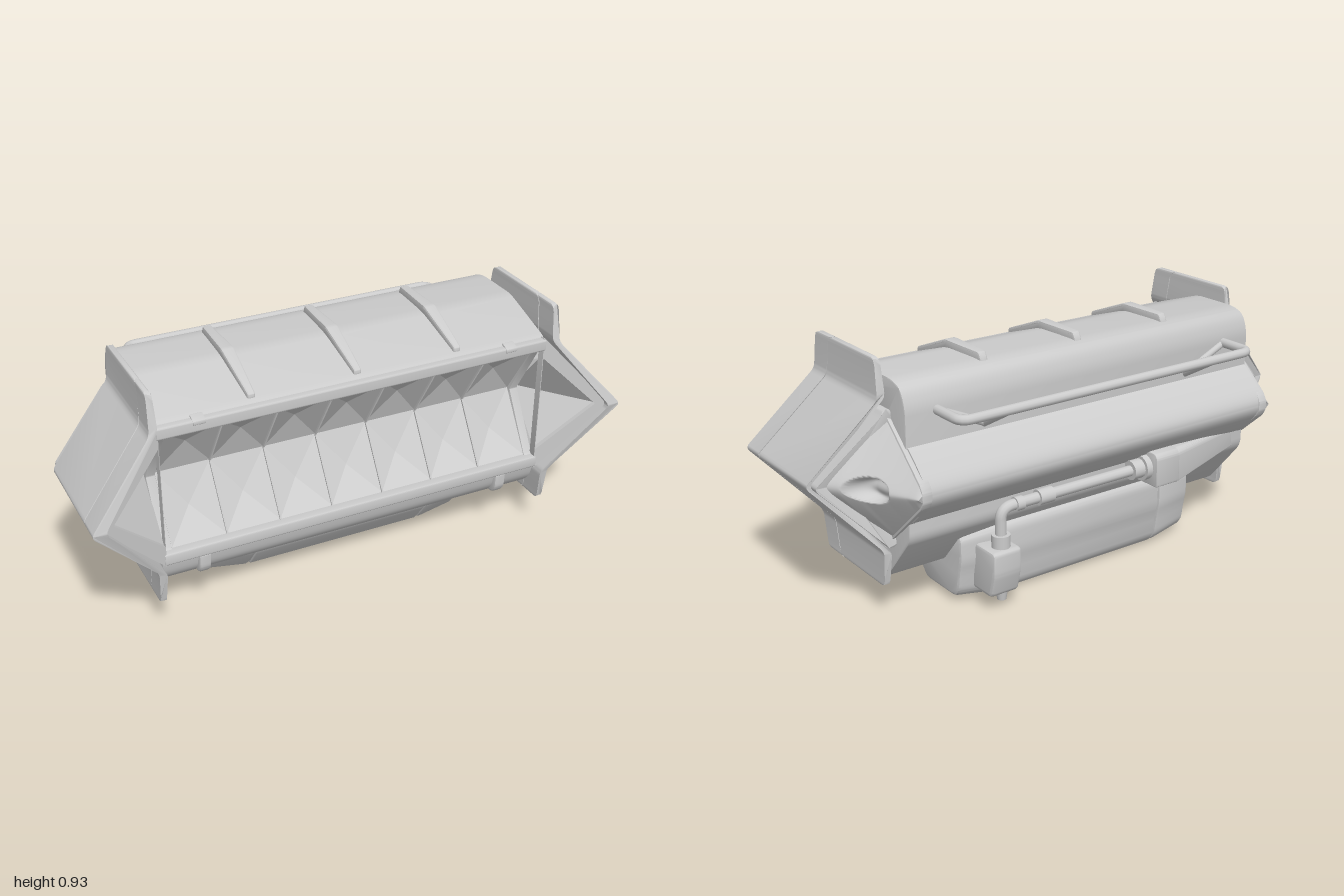
import * as THREE from 'three';
import { toCreasedNormals } from 'three/addons/utils/BufferGeometryUtils.js';

const grey = new THREE.MeshStandardMaterial({ color: 0xcccccc, side: THREE.DoubleSide });
const MID = 0.522; // height of the horizontal symmetry line

function add(parent, name, geo) {
  const mesh = new THREE.Mesh(geo, grey);
  mesh.name = name;
  parent.add(mesh);
  return mesh;
}

// Closed shape with softened corners
function roundedShape(pts, r) {
  const shape = new THREE.Shape();
  const v = pts.map(p => new THREE.Vector2(...p));
  v.forEach((p, i) => {
    const a = v[(i + v.length - 1) % v.length], b = v[(i + 1) % v.length];
    const toward = q => p.clone().lerp(q, Math.min(0.45, r / p.distanceTo(q)));
    const s = toward(a), e = toward(b);
    if (i === 0) shape.moveTo(s.x, s.y); else shape.lineTo(s.x, s.y);
    shape.quadraticCurveTo(p.x, p.y, e.x, e.y);
  });
  shape.closePath();
  return shape;
}

// Move every vertex by a rule
function warp(geo, rule) {
  const p = geo.attributes.position, v = new THREE.Vector3();
  for (let i = 0; i < p.count; i++) {
    rule(v.fromBufferAttribute(p, i));
    p.setXYZ(i, v.x, v.y, v.z);
  }
  return geo;
}

const finish = geo => toCreasedNormals(geo, 0.55);

// Side profile of [z, y] points, swept from x0 to x1
function prism(pts, x0, x1, r = 0.015, bevel = 0.008, rule = null) {
  const geo = new THREE.ExtrudeGeometry(roundedShape(pts.map(([z, y]) => [-z, y]), r), {
    depth: x1 - x0 - 2 * bevel, bevelEnabled: bevel > 0, bevelSize: bevel, bevelThickness: bevel,
    bevelOffset: -bevel, bevelSegments: 2, curveSegments: 5 });
  geo.rotateY(Math.PI / 2).translate(x0 + bevel, 0, 0);
  return finish(rule ? warp(geo, rule) : geo);
}

// Piecewise linear lookup in [key, value] rows with rising keys
function lookup(rows, k) {
  if (k <= rows[0][0]) return rows[0][1];
  for (let i = 1; i < rows.length; i++) {
    const [a, va] = rows[i - 1], [b, vb] = rows[i];
    if (k <= b) return va + (vb - va) * (k - a) / (b - a);
  }
  return rows[rows.length - 1][1];
}

function triangles(list) {
  const geo = new THREE.BufferGeometry();
  geo.setAttribute('position', new THREE.Float32BufferAttribute(list.flat(2), 3));
  geo.computeVertexNormals();
  return geo;
}

const finFront = [[0, 0.397], [0.27, 0.313], [0.38, 0.297], [0.396, 0.29], [0.404, 0.272]];
const finBack = [[0, -0.048], [0.27, -0.12], [0.38, -0.108], [0.396, -0.101], [0.404, -0.083]];

// V-shaped plate: tips and upper half outline as [x, height above middle];
// front and back edges follow the height
function vPlate(outerTip, innerTip, upper, front, back) {
  const at = s => ([x, d]) => [x, MID + s * d];
  const pts = [[outerTip, MID], ...upper.map(at(1)), [innerTip, MID], ...upper.map(at(-1)).reverse()];
  const geo = new THREE.ExtrudeGeometry(roundedShape(pts, 0.02), { depth: 1, bevelEnabled: false, curveSegments: 5 });
  return finish(warp(geo, v => {
    const d = Math.abs(v.y - MID);
    v.z = v.z > 0.5 ? front(d) : back(d);
  }));
}

// Side plate, optionally slimmed by o
function finPlate(o, front, back) {
  return vPlate(1.007 - o, 0.96 + o, [[0.77 - o, 0.265], [0.767 - o, 0.38], [0.767 - o, 0.396], [0.765 - o, 0.404],
    [0.747 + o, 0.404], [0.745 + o, 0.396], [0.745 + o, 0.38], [0.74 + o, 0.275]], front, back);
}

// Rear corner cap: a rounded nose with an oval hollow that is deepest at its front
function capGeometry() {
  const ridge = [[-0.35, 0.765], [-0.31, 0.785], [-0.24, 0.83], [-0.17, 0.88], [-0.12, 0.925], [-0.06, 0.965]];
  const half = [[-0.35, 0.018], [-0.335, 0.045], [-0.155, 0.203], [-0.11, 0.23]];
  const geo = warp(new THREE.PlaneGeometry(2, 1, 72, 72), v => {
    const u = -v.x, z = -0.06 - (v.y + 0.5) * 0.29;
    const y = u * lookup(half, z);
    const slope = (Math.sqrt(u * u + 0.01) - 0.1) / 0.905;
    let x = 0.745 + (lookup(ridge, z) - 0.745) * (1 - slope);
    const w = (z + 0.192) / 0.064, q = w * w + (y / 0.042) ** 2;
    if (q < 1) x -= (0.055 + 0.035 * w) * (1 - q ** 3);
    v.set(x, MID + y, z);
  });
  geo.computeVertexNormals();
  return geo;
}

function buildEnd() {
  const end = new THREE.Group();
  const front = d => lookup(finFront, d), back = d => lookup(finBack, d);
  // Side plate in two panels with a seam between them
  add(end, 'sidePanel', finPlate(0, d => front(d) - 0.094, back));
  add(end, 'frontSidePanel', finPlate(0, front, d => front(d) - 0.09));
  add(end, 'seamLiner', finPlate(0.004, d => front(d) - 0.02, d => back(d) + 0.02));

  // Triangular rim around the end recess
  const rim = roundedShape([[0.73, 0.795], [0.968, MID], [0.73, 0.25]], 0.01);
  rim.holes.push(new THREE.Path([[0.732, 0.712], [0.922, MID], [0.732, 0.332]].map(p => new THREE.Vector2(...p))));
  const slant = x => 0.28 + (x - 0.735) * 0.43;
  add(end, 'endRim', finish(warp(new THREE.ExtrudeGeometry(rim, { depth: 0.03, bevelEnabled: false }),
    v => { v.z += slant(v.x) - 0.03; })));
  const apex = [0.922, MID, slant(0.922) - 0.015], top = [0.732, 0.712, 0.262];
  const low = [0.732, 0.332, 0.262], deep = [0.732, MID, 0.1];
  add(end, 'endReflector', triangles([[apex, top, deep], [apex, deep, low]]));

  // Rear cap, its base and the raised band along the side plate
  add(end, 'capBase', prism([[-0.05, MID], [-0.125, 0.755], [-0.155, 0.727], [-0.335, 0.567], [-0.351, 0.54],
    [-0.351, 0.504], [-0.335, 0.477], [-0.155, 0.317], [-0.125, 0.289]], 0.715, 0.752, 0.01, 0.003));
  add(end, 'capBand', vPlate(0.992, 0.9, [[0.778, 0.225], [0.765, 0.243], [0.74, 0.243], [0.735, 0.2]],
    d => back(d) + 0.012, d => -0.085 - 0.07 * Math.min(1, d / 0.22) + Math.max(0, d - 0.225) * 0.5));
  add(end, 'rearCap', capGeometry());
  return end;
}

export function createModel() {
  const model = new THREE.Group();
  model.name = 'lightBar';

  // Housing with a V-shaped trough in front
  add(model, 'housing', prism([[0.264, 0.26], [0.262, 0.298], [0.24, 0.302], [0.03, MID], [0.24, 0.748], [0.262, 0.752],
    [0.264, 0.79], [0.03, 0.867], [-0.16, 0.867], [-0.215, 0.85], [-0.24, 0.79], [-0.24, 0.33], [-0.073, 0.135],
    [0.18, 0.135], [0.245, 0.19]], -0.74, 0.74, 0.03, 0.004));
  add(model, 'rearRidge', prism([[-0.2, 0.68], [-0.26, 0.645], [-0.348, 0.555], [-0.348, 0.495], [-0.26, 0.405],
    [-0.2, 0.37]], -0.735, 0.735, 0.05, 0));

  // Window frame: long bars and short posts
  for (const s of [-1, 1]) {
    const y = MID + s * 0.243;
    add(model, 'windowBar', prism([[0.283, y - 0.022], [0.283, y + 0.022], [0.23, y + 0.022], [0.23, y - 0.022]],
      -0.737, 0.737, 0.008, 0.003));
    add(model, 'troughEnd', prism([[0.278, 0.29], [0.25, 0.305], [0.125, MID], [0.25, 0.739], [0.278, 0.755],
      [0.05, 0.755], [0.05, 0.29]], s * 0.718 - 0.017, s * 0.718 + 0.017, 0.005, 0.003));
  }

  // Two rows of dimpled reflector cells, parted by thin walls
  const cells = [];
  for (let i = 0; i < 7; i++) for (const s of [-1, 1]) {
    const x0 = -0.7 + i * 0.2, x1 = x0 + 0.2, yo = MID + s * 0.22;
    const ring = [[x0, yo, 0.25], [x1, yo, 0.25], [x1, MID, 0.11], [x0, MID, 0.11]];
    if (s > 0) ring.reverse();
    const centre = [x0 + 0.1, MID + s * 0.126, 0.157];
    ring.forEach((p, k) => cells.push([p, ring[(k + 1) % 4], centre]));
  }
  add(model, 'reflectorCells', triangles(cells));
  for (let i = 1; i < 7; i++) {
    const x = -0.7 + i * 0.2;
    add(model, 'cellWall', prism([[0.256, 0.302], [0.118, MID], [0.256, 0.742], [0.235, 0.742], [0.1, MID], [0.235, 0.302]],
      x - 0.003, x + 0.003, 0.002, 0));
  }

  // Ribs over the roof
  for (const x of [-0.39, 0, 0.39]) add(model, 'roofRib', prism([[0.24, 0.785], [0.24, 0.815], [0.04, 0.892],
    [-0.155, 0.892], [-0.172, 0.855], [0.03, 0.855]], -0.024, 0.024, 0.01, 0.008,
    v => { v.x = x + v.x * (1 - 0.4 * Math.min(1, (Math.abs(v.z - 0.03) / 0.2) ** 2)); }));

  // Front clips
  for (const x of [-0.59, 0.59]) {
    add(model, 'lowerClip', prism([[0.274, 0.262], [0.27, 0.2], [0.25, 0.17], [0.2, 0.17], [0.2, 0.262]], x - 0.022, x + 0.022));
    add(model, 'upperClip', prism([[0.285, 0.77], [0.285, 0.785], [0.25, 0.797], [0.25, 0.77]], x - 0.022, x + 0.022, 0.004, 0.002));
  }

  // Tank underneath, with tapered end sections
  const tank = [[0.1, 0.285], [0.155, 0.15], [0.145, 0.11], [0.06, 0], [-0.16, 0], [-0.19, 0.035], [-0.203, 0.12],
    [-0.215, 0.17], [-0.215, 0.265], [-0.19, 0.285]];
  add(model, 'tank', prism(tank, -0.347, 0.347, 0.025, 0.006));
  add(model, 'tankCore', prism(tank.map(([z, y]) => [z * 0.95, 0.15 + (y - 0.15) * 0.94]), -0.4, 0.4, 0.025, 0));
  for (const s of [-1, 1]) add(model, 'tankEnd', prism(tank, s < 0 ? -0.515 : 0.353, s < 0 ? -0.353 : 0.515, 0.025, 0.012, v => {
    const k = 1 - 0.14 * (Math.abs(v.x) - 0.353) / 0.162;
    v.y = 0.16 + (v.y - 0.16) * k;
    v.z = -0.03 + (v.z + 0.03) * k;
  }));

  // Rear handrail with struts and side braces
  const rail = new THREE.CurvePath();
  const P = (x, y, z) => new THREE.Vector3(x, y, z);
  const tube = (name, curve, r, n) => add(model, name, new THREE.TubeGeometry(curve, n, r, 12));
  const bend = (...p) => rail.add(new THREE.QuadraticBezierCurve3(...p));
  const line = (a, b) => rail.add(new THREE.LineCurve3(a, b));
  const h = 0.762, zr = -0.378;
  line(P(-0.62, h, -0.22), P(-0.62, h, -0.34));
  bend(P(-0.62, h, -0.34), P(-0.62, h, zr), P(-0.58, h, zr));
  line(P(-0.58, h, zr), P(0.58, h, zr));
  bend(P(0.58, h, zr), P(0.62, h, zr), P(0.62, h, -0.34));
  line(P(0.62, h, -0.34), P(0.62, h, -0.22));
  tube('handrail', rail, 0.017, 120);
  for (const s of [-1, 1]) {
    tube('railStrut', new THREE.LineCurve3(P(s * 0.44, h, zr), P(s * 0.44, 0.675, -0.225)), 0.016, 1);
    tube('railBrace', new THREE.LineCurve3(P(s * 0.62, h, -0.24), P(s * 0.44, 0.68, -0.24)), 0.013, 1);
  }

  // Rear pipe: elbow, sleeves, canister and tapered bracket
  const pipe = new THREE.CurvePath();
  pipe.add(new THREE.LineCurve3(P(0.4, 0.2, -0.264), P(0.4, 0.33, -0.264)));
  pipe.add(new THREE.QuadraticBezierCurve3(P(0.4, 0.33, -0.264), P(0.4, 0.372, -0.266), P(0.35, 0.372, -0.266)));
  pipe.add(new THREE.LineCurve3(P(0.35, 0.372, -0.266), P(-0.25, 0.372, -0.27)));
  tube('pipe', pipe, 0.02, 90);
  for (const [x, r, len] of [[0.33, 0.025, 0.03], [0.22, 0.028, 0.06], [-0.185, 0.036, 0.05], [-0.22, 0.048, 0.03]])
    add(model, 'pipeSleeve', new THREE.CylinderGeometry(r, r, len, 20).rotateZ(Math.PI / 2)).position.set(x, 0.372, -0.268);
  add(model, 'canisterCollar', new THREE.CylinderGeometry(0.033, 0.033, 0.05, 20)).position.set(0.4, 0.25, -0.264);
  add(model, 'canister', prism([[-0.18, 0.23], [-0.31, 0.23], [-0.31, 0.145], [-0.287, 0.057], [-0.17, 0.057]], 0.345, 0.46, 0.018, 0.012));
  add(model, 'canisterNozzle', new THREE.CylinderGeometry(0.022, 0.016, 0.035, 16)).position.set(0.4, 0.048, -0.264);
  for (const [name, x0, x1, endK] of [['bracketHead', -0.34, -0.23, 1], ['bracketTail', -0.71, -0.335, 0.12]])
    add(model, name, prism([[-0.22, 0.435], [-0.32, 0.435], [-0.335, 0.42], [-0.335, 0.307], [-0.22, 0.307]], x0, x1, 0.01, 0.006, v => {
      const k = 1 + (endK - 1) * (x1 - v.x) / (x1 - x0);
      v.z = -0.22 + (v.z + 0.22) * k;
      v.y = 0.38 + (v.y - 0.38) * (0.5 + 0.5 * k);
    }));

  // Mirrored ends
  const left = buildEnd(), right = buildEnd();
  left.name = 'leftEnd';
  right.name = 'rightEnd';
  right.scale.x = -1;
  model.add(left, right);
  return model;
}
